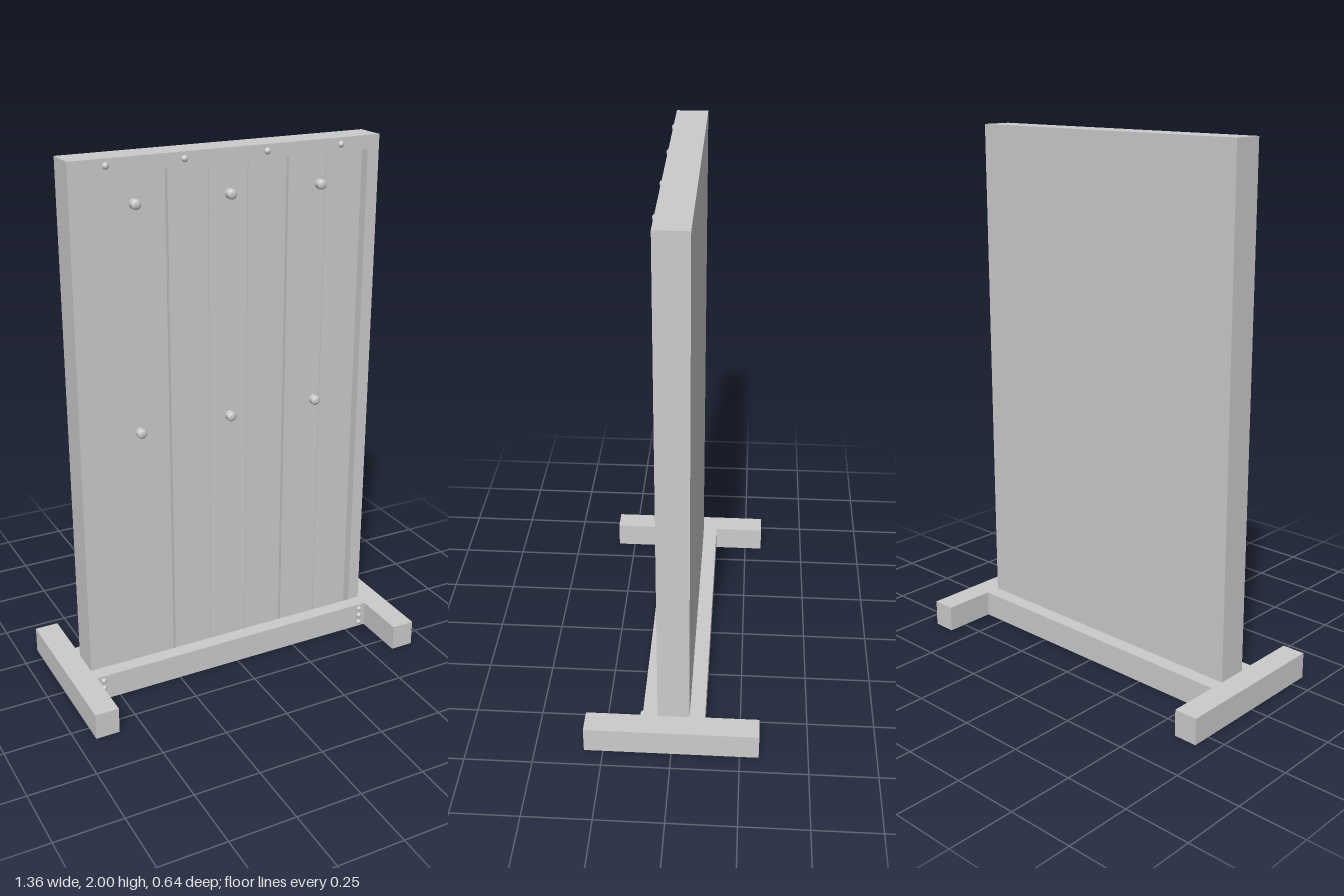
import * as THREE from 'three';

export function createModel() {
  const model = new THREE.Group();
  const material = new THREE.MeshStandardMaterial({ color: 0xcccccc });

  // Box given by its limits on each axis
  function box(name, [x0, x1], [y0, y1], [z0, z1]) {
    const mesh = new THREE.Mesh(new THREE.BoxGeometry(x1 - x0, y1 - y0, z1 - z0), material);
    mesh.position.set((x0 + x1) / 2, (y0 + y1) / 2, (z0 + z1) / 2);
    mesh.name = name;
    model.add(mesh);
  }

  // Flattened dome head facing the front
  const domeGeometry = new THREE.SphereGeometry(1, 20, 8, 0, Math.PI * 2, 0, Math.PI / 2);
  domeGeometry.rotateX(Math.PI / 2);
  function dome(name, x, y, z, radius, height) {
    const mesh = new THREE.Mesh(domeGeometry, material);
    mesh.scale.set(radius, radius, height);
    mesh.position.set(x, y, z);
    mesh.name = name;
    model.add(mesh);
  }

  // Feet and the two rails that clamp the panel
  box('leftFoot', [0.59, 0.68], [0, 0.1], [-0.32, 0.32]);
  box('rightFoot', [-0.68, -0.59], [0, 0.1], [-0.32, 0.32]);
  box('frontRail', [-0.59, 0.59], [0, 0.1], [0.055, 0.11]);
  box('backRail', [-0.59, 0.59], [0, 0.1], [-0.12, -0.063]);

  // Frame around the planks, open at the bottom
  const bottom = 0.05;
  const outline = new THREE.Shape([
    [-0.592, bottom], [-0.54, bottom], [-0.54, 1.95], [0.545, 1.95],
    [0.545, bottom], [0.592, bottom], [0.592, 2], [-0.592, 2],
  ].map(([x, y]) => new THREE.Vector2(x, y)));
  const frame = new THREE.Mesh(
    new THREE.ExtrudeGeometry(outline, { depth: 0.113, bevelEnabled: false }), material);
  frame.position.z = -0.058;
  frame.name = 'frame';
  model.add(frame);

  // Back sheet covering the whole panel
  box('backSheet', [-0.592, 0.592], [bottom, 2], [-0.062, -0.057]);

  // Recessed planks with narrow gaps between them
  const planks = [
    [-0.54, -0.242], [-0.233, -0.082], [-0.08, 0.07],
    [0.072, 0.223], [0.232, 0.383], [0.385, 0.534],
  ];
  planks.forEach((span) => box('plank', span, [bottom, 1.95], [-0.02, 0.035]));
  box('plankBacking', [-0.54, 0.545], [bottom, 1.95], [-0.03, -0.02]);

  // Round bolts on the planks
  for (const y of [1.02, 1.84]) {
    for (const x of [-0.357, 0, 0.358]) {
      const shank = new THREE.Mesh(new THREE.CylinderGeometry(0.018, 0.018, 0.022, 20), material);
      shank.rotation.x = Math.PI / 2;
      shank.position.set(x, y, 0.045);
      shank.name = 'boltShank';
      model.add(shank);
      dome('boltHead', x, y, 0.056, 0.018, 0.009);
    }
  }

  // Screws on the top bar and at the ends of the front rail
  for (const x of [-0.46, -0.178, 0.136, 0.432]) dome('topScrew', x, 1.976, 0.055, 0.012, 0.01);
  for (const x of [-0.563, 0.564]) {
    for (const y of [0.018, 0.05, 0.082]) dome('railScrew', x, y, 0.11, 0.011, 0.011);
  }

  return model;
}
